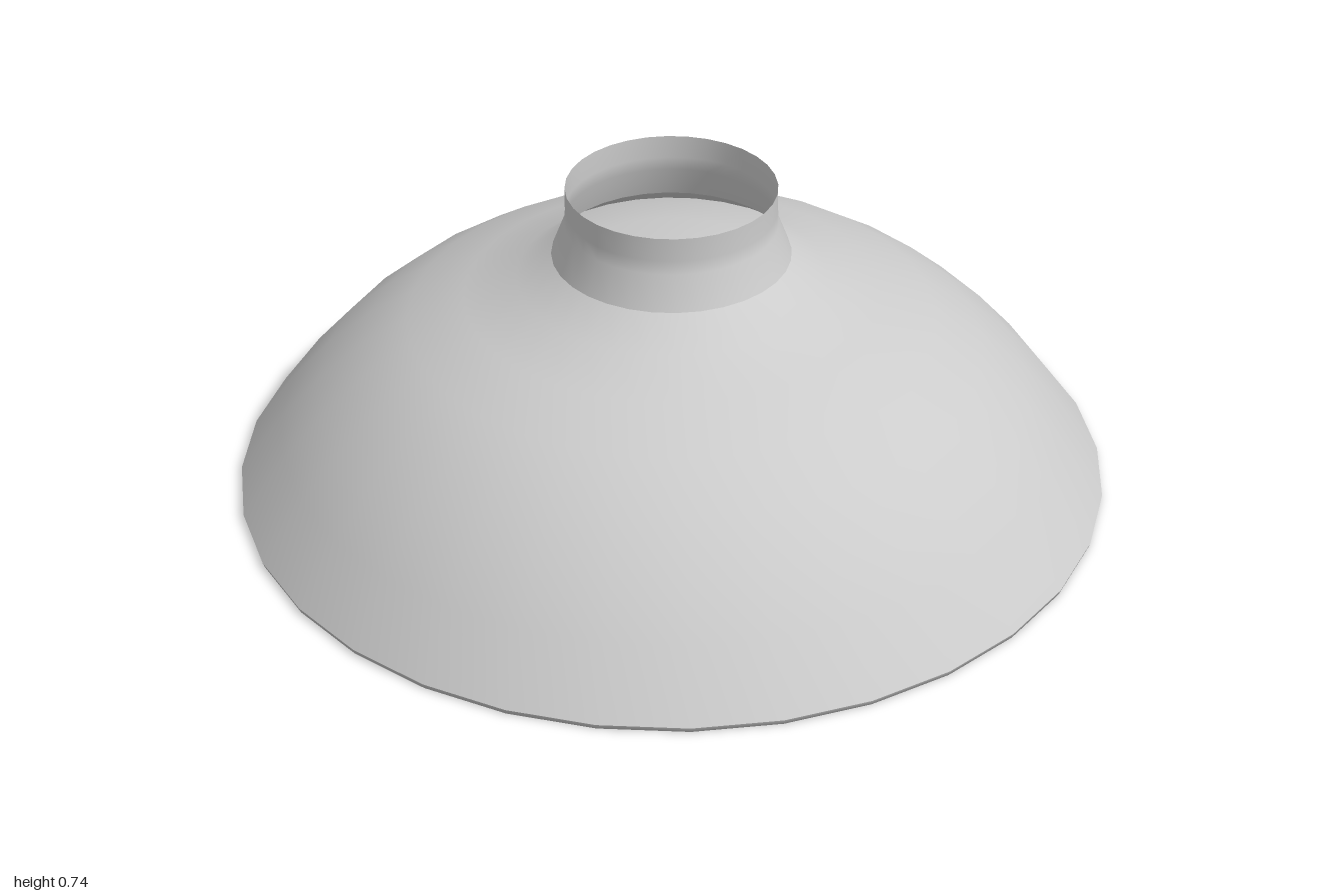
import * as THREE from 'three';

const SEGMENTS = 32;
const material = new THREE.MeshStandardMaterial({ color: 0xcccccc, side: THREE.DoubleSide });

// Revolve a profile of [radius, height] pairs, listed from bottom to top
function revolve(name, profile, segments = SEGMENTS) {
  const points = profile.map(([r, y]) => new THREE.Vector2(r, y));
  const mesh = new THREE.Mesh(new THREE.LatheGeometry(points, segments), material);
  mesh.name = name;
  return mesh;
}

export function createModel() {
  const group = new THREE.Group();
  group.name = 'lampShade';

  // Outer bell of the shade
  group.add(revolve('shade', [
    [1, 0.012], [0.9, 0.148], [0.81, 0.25], [0.71, 0.338], [0.6, 0.412],
    [0.47, 0.467], [0.35, 0.512], [0.27, 0.57],
  ]));

  // Open neck with a flared foot
  group.add(revolve('neck', [[0.27, 0.57], [0.24, 0.648], [0.237, 0.68], [0.237, 0.735]]));

  // Thin lip closing the gap between bell and reflector
  group.add(revolve('rimLip', [[0.982, 0], [0.996, 0], [1, 0.012]]));

  // Inner reflector, domed over below the neck
  group.add(revolve('reflector', [
    [0.982, 0], [0.885, 0.138], [0.797, 0.237], [0.7, 0.322], [0.594, 0.394],
    [0.465, 0.452], [0.35, 0.498], [0.22, 0.532], [0.07, 0.547],
  ]));

  // Funnel in the middle of the reflector that holds the bulb
  group.add(revolve('socket', [[0.038, 0.505], [0.042, 0.518], [0.055, 0.535], [0.07, 0.547]], 24));

  // Pear-shaped bulb
  group.add(revolve('bulb', [
    [0, 0.355], [0.022, 0.36], [0.04, 0.375], [0.051, 0.4], [0.051, 0.425],
    [0.043, 0.452], [0.034, 0.478], [0.034, 0.5], [0.038, 0.51], [0, 0.512],
  ], 24));

  return group;
}
